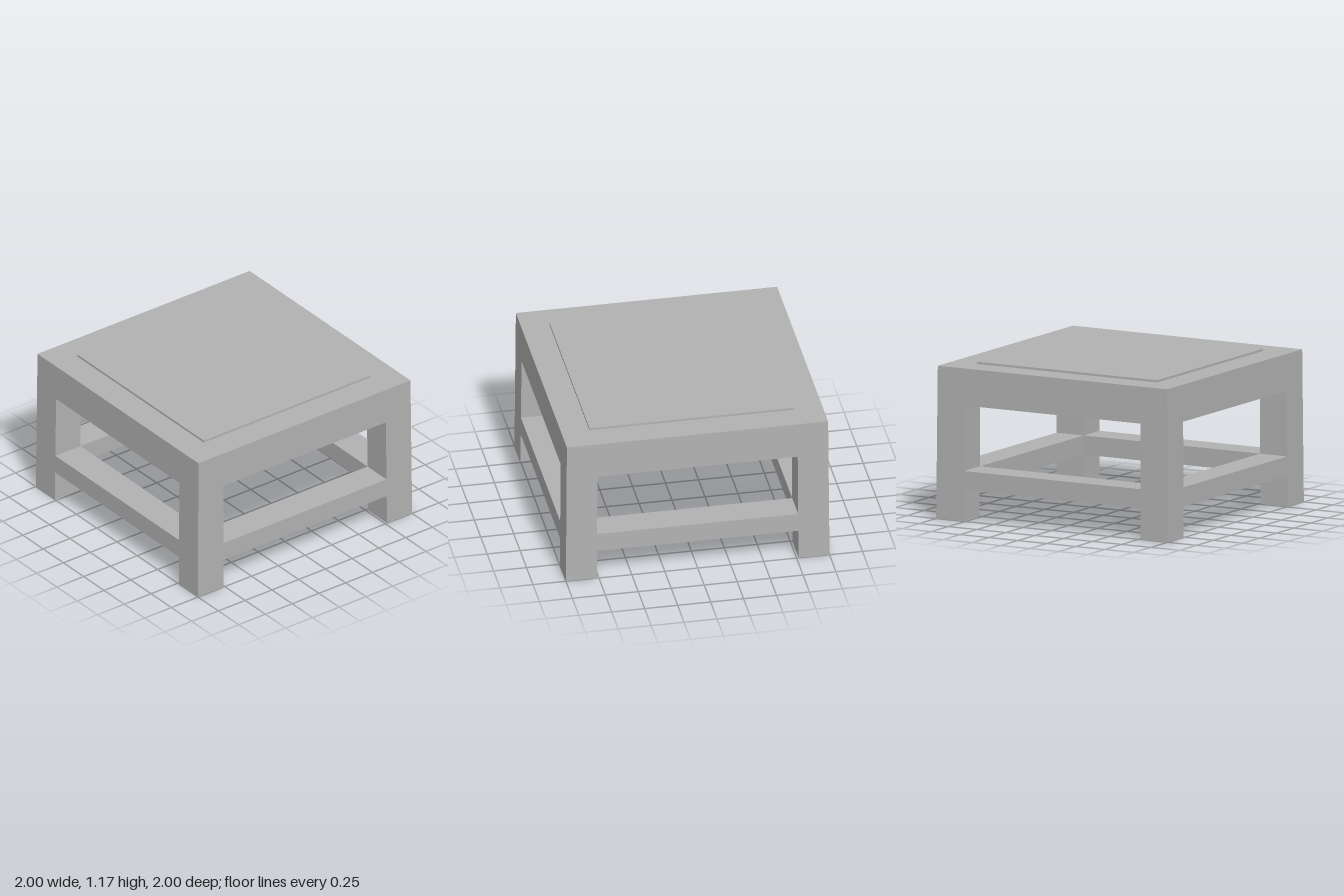
import * as THREE from 'three';

const HALF = 1;        // half width at the floor
const POST = 0.235;    // width of legs and rails
const TOP = 1.155;     // height of the frame
const INNER = HALF - POST;

export function createModel() {
  const table = new THREE.Group();
  table.name = 'lowTable';
  const grey = new THREE.MeshStandardMaterial({ color: 0xb2b2b2 });
  grey.name = 'plainGrey';

  // Box between two corners, drawn in very slightly towards the top
  function block(name, x0, x1, y0, y1, z0, z1) {
    const geo = new THREE.BoxGeometry(x1 - x0, y1 - y0, z1 - z0);
    geo.translate((x0 + x1) / 2, (y0 + y1) / 2, (z0 + z1) / 2);
    const p = geo.attributes.position;
    for (let i = 0; i < p.count; i++) {
      const s = 1 - 0.009 * p.getY(i) / TOP;
      p.setX(i, p.getX(i) * s);
      p.setZ(i, p.getZ(i) * s);
    }
    geo.computeVertexNormals();
    const mesh = new THREE.Mesh(geo, grey);
    mesh.name = name;
    return mesh;
  }

  // Four sides: a leg, an apron rail and a stretcher each
  for (let i = 0; i < 4; i++) {
    const side = new THREE.Group();
    side.name = 'side' + (i + 1);
    side.add(
      block('leg', INNER, HALF, 0, TOP, INNER, HALF),
      block('apronRail', -INNER, INNER, 0.875, TOP, INNER, HALF),
      block('stretcher', -INNER, INNER, 0.235, 0.38, INNER, HALF)
    );
    side.rotation.y = i * Math.PI / 2;
    table.add(side);
  }

  // Top panel standing slightly proud of the frame, hollow below
  const panel = 0.785;
  table.add(block('topPanel', -panel, panel, 1.1, 1.172, -panel, panel));
  return table;
}
